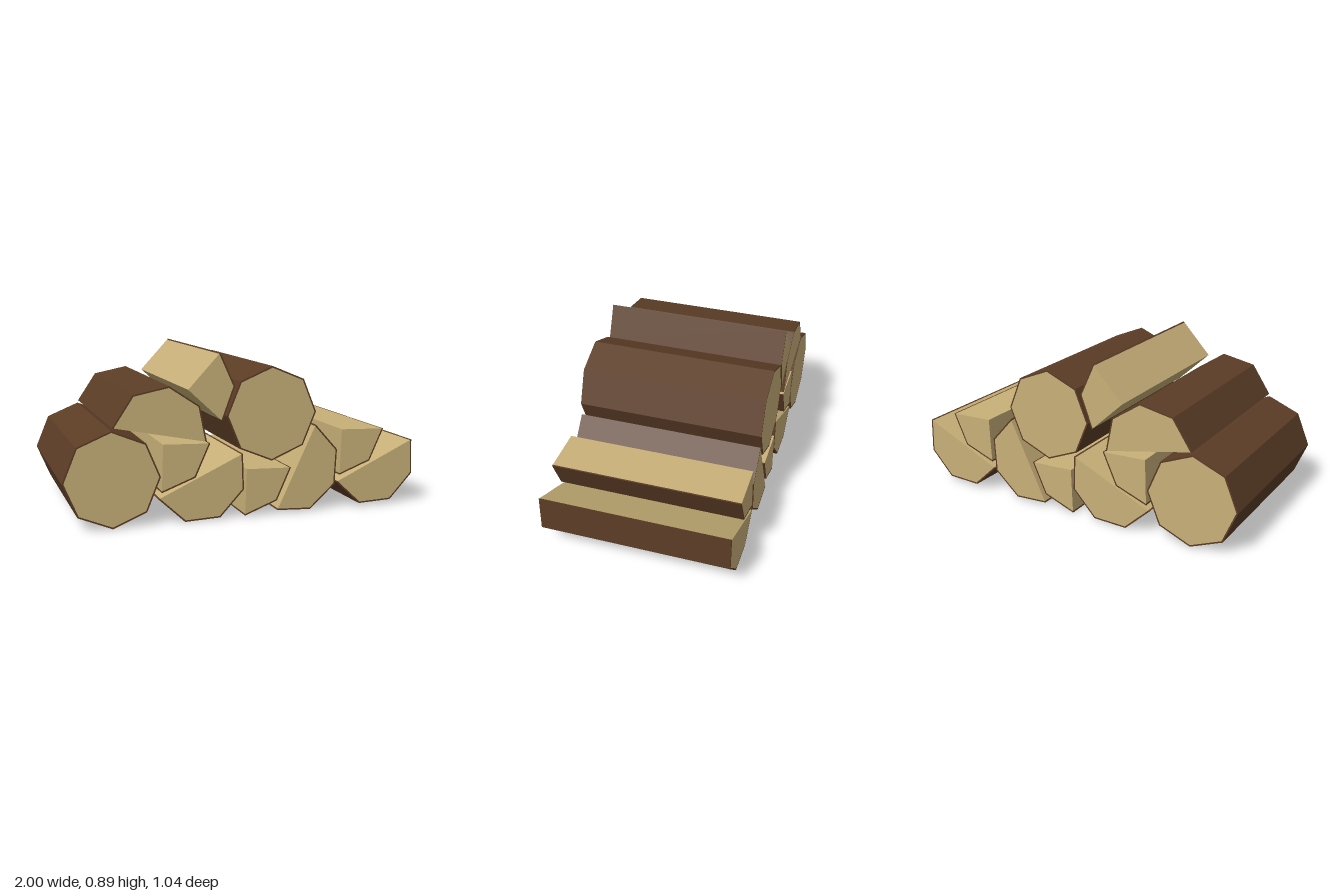
import * as THREE from 'three';

const RADIUS = 0.257;
const BARK = 0.009;
const LENGTH = 1.036;
const STEP = Math.PI / 4; // logs are eight-sided

const woodMaterial = new THREE.MeshStandardMaterial({ color: 0xc8b078, flatShading: true });
const barkMaterial = new THREE.MeshStandardMaterial({ color: 0x5c3d26, flatShading: true });

// Corner points along part of the octagon, counter-clockwise from a start angle
function arc(radius, start, sides) {
  const points = [];
  for (let i = 0; i <= sides; i++) {
    const a = start + i * STEP;
    points.push(new THREE.Vector2(Math.cos(a) * radius, Math.sin(a) * radius));
  }
  return points;
}

function prism(name, shape, material) {
  const geometry = new THREE.ExtrudeGeometry(shape, { depth: LENGTH, bevelEnabled: false });
  geometry.translate(0, 0, -LENGTH / 2);
  const mesh = new THREE.Mesh(geometry, material);
  mesh.name = name;
  return mesh;
}

// A log split to the given number of octagon sides: 8 whole, 4 half, 2 quarter
function firewood(name, sides, x, y, degrees) {
  const start = THREE.MathUtils.degToRad(degrees);
  const outer = arc(RADIUS, start, sides);
  const inner = arc(RADIUS - BARK, start, sides);
  let wood, bark;
  if (sides === 8) {
    outer.pop();
    inner.pop();
    wood = new THREE.Shape(inner);
    bark = new THREE.Shape(outer);
    bark.holes.push(new THREE.Path(inner));
  } else {
    const core = sides === 2 ? [new THREE.Vector2(0, 0), ...inner] : inner;
    wood = new THREE.Shape(core);
    bark = new THREE.Shape([...outer, ...inner.slice().reverse()]);
  }
  const log = new THREE.Group();
  log.name = name;
  log.add(prism('wood', wood, woodMaterial), prism('bark', bark, barkMaterial));
  log.position.set(x, y, 0);
  return log;
}

export function createModel() {
  const pile = new THREE.Group();
  pile.name = 'firewoodPile';

  // Whole logs
  pile.add(firewood('wholeLogLower', 8, -0.743, 0.259, 0));
  pile.add(firewood('wholeLogUpper', 8, 0.133, 0.56, 0));

  // Half logs
  pile.add(firewood('halfLogTop', 4, -0.487, 0.48, -11.3));
  pile.add(firewood('halfLogBottom', 4, -0.267, 0.246, 204.5));
  pile.add(firewood('halfLogLeaning', 4, 0.28, 0.255, 244.5));
  pile.add(firewood('halfLogEnd', 4, 0.757, 0.261, 204.5));

  // Quarter logs; x and y give the split corner
  pile.add(firewood('quarterLogInner', 2, -0.473, 0.429, 268));
  pile.add(firewood('quarterLogBottom', 2, -0.01, 0.266, 268));
  pile.add(firewood('quarterLogEnd', 2, 0.55, 0.451, 268));
  pile.add(firewood('quarterLogTop', 2, -0.336, 0.709, -43));

  return pile;
}
